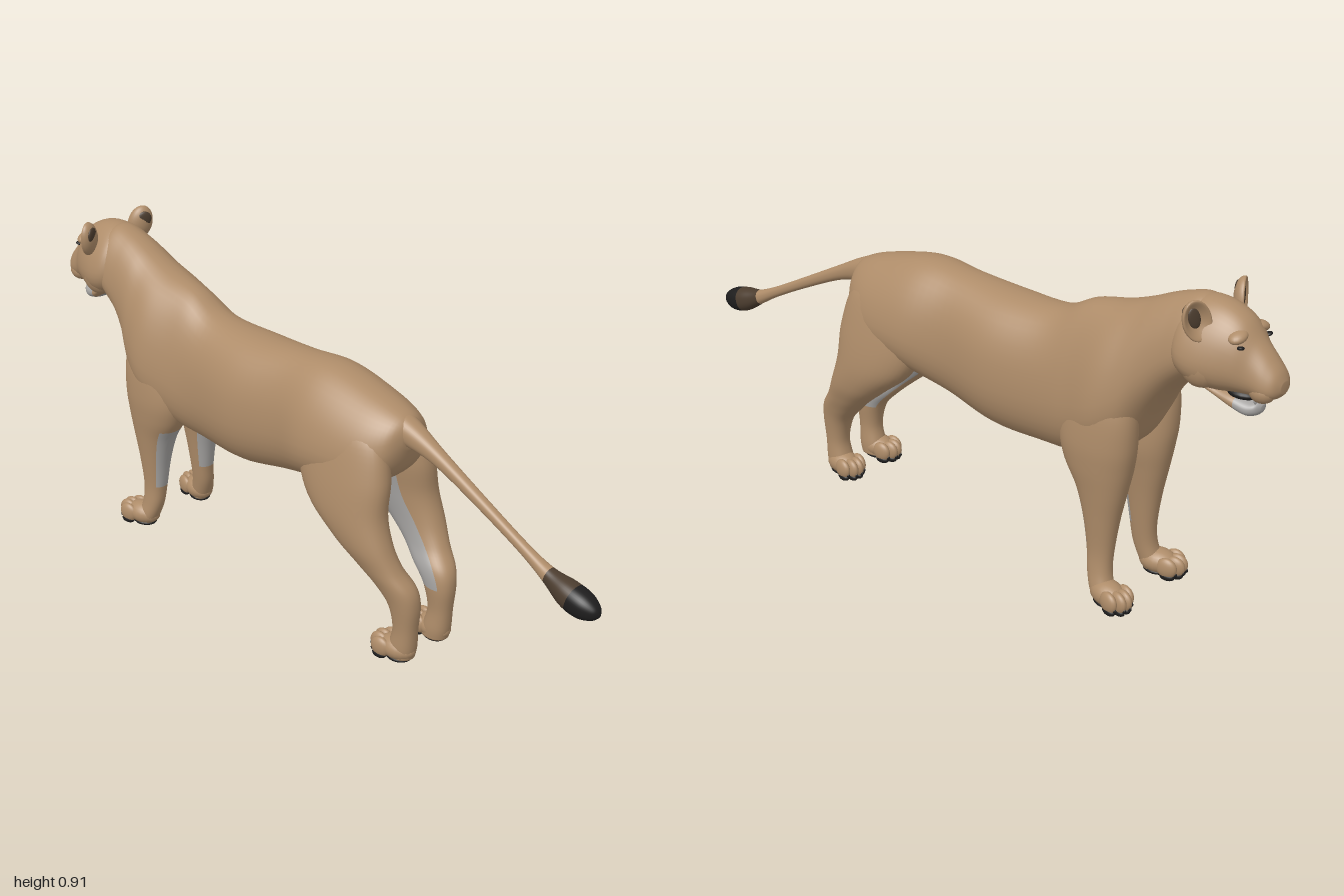
import * as THREE from 'three';

const paint = (name, color) => Object.assign(new THREE.MeshStandardMaterial({ color }), { name });

// Smooth skin through cross-sections; pick() chooses the material of each face
function loft(rows, place, pick = () => 0, steps = 6, n = 40) {
  const pos = [], buckets = [[], [], []], fine = [];
  const last = rows.length - 1;
  for (let i = 0; i <= last * steps; i++) {
    const k = Math.min(Math.floor(i / steps), last - 1), t = i / steps - k;
    const at = (j) => rows[Math.max(0, Math.min(last, j))];
    fine.push(rows[0].map((_, c) => {
      const [a, b, d, e] = [at(k - 1)[c], at(k)[c], at(k + 1)[c], at(k + 2)[c]];
      return b + 0.5 * t * (d - a + t * (2 * a - 5 * b + 4 * d - e + t * (3 * (b - d) + e - a)));
    }));
  }
  const angle = (j) => (j / n) * Math.PI * 2;
  const round = (v) => Math.sign(v) * Math.abs(v) ** 0.9;
  fine.forEach((r) => {
    for (let j = 0; j < n; j++) pos.push(...place(r, round(Math.cos(angle(j))), round(Math.sin(angle(j)))));
  });
  for (let i = 0; i < fine.length - 1; i++) {
    for (let j = 0; j < n; j++) {
      const a = i * n + j, b = i * n + (j + 1) % n;
      const m = pick(fine[i], Math.cos(angle(j + 0.5)), Math.sin(angle(j + 0.5)));
      buckets[m].push(a, b, a + n, b, b + n, a + n);
    }
  }
  // End caps
  [0, fine.length - 1].forEach((i) => {
    const centre = pos.length / 3, m = pick(fine[i], 0, 0);
    pos.push(...place(fine[i], 0, 0));
    for (let j = 0; j < n; j++) {
      const a = i * n + j, b = i * n + (j + 1) % n;
      buckets[m].push(...(i ? [a, b, centre] : [b, a, centre]));
    }
  });
  // Turn all faces outward
  let volume = 0;
  const p = (q) => new THREE.Vector3().fromArray(pos, q * 3);
  buckets.forEach((f) => {
    for (let q = 0; q < f.length; q += 3) volume += p(f[q]).dot(p(f[q + 1]).cross(p(f[q + 2])));
  });
  const geo = new THREE.BufferGeometry();
  geo.setAttribute('position', new THREE.Float32BufferAttribute(pos, 3));
  let start = 0;
  buckets.forEach((f, m) => {
    if (volume < 0) for (let q = 0; q < f.length; q += 3) [f[q], f[q + 1]] = [f[q + 1], f[q]];
    geo.addGroup(start, f.length, m);
    start += f.length;
  });
  geo.setIndex(buckets.flat());
  geo.computeVertexNormals();
  return geo;
}

export function createModel() {
  const model = new THREE.Group();
  const tan = paint('tan fur', 0xae8c69);
  const pale = paint('pale grey fur', 0xa5a3a1);
  const brown = paint('brown fur', 0x4c3d2f);
  const black = paint('black', 0x1e1d1d);

  const add = (name, geo, mat, parent = model) => {
    const mesh = new THREE.Mesh(geo, mat);
    mesh.name = name;
    parent.add(mesh);
    return mesh;
  };
  const blob = (name, mat, [x, y, z], [rx, ry, rz], parent = model) => {
    const mesh = add(name, new THREE.SphereGeometry(1, 20, 14), mat, parent);
    mesh.position.set(x, y, z);
    mesh.scale.set(rx, ry, rz);
    return mesh;
  };
  // Row: z, top, bottom, half width, narrowing towards the top
  const alongZ = ([z, top, bottom, w, taper], c, s) =>
    [w * c * (1 - taper * s), (top + bottom) / 2 + (top - bottom) / 2 * s, z];

  // Trunk and neck
  add('body', loft([
    [0.385, 0.665, 0.60, 0.03, 0.1], [0.355, 0.688, 0.52, 0.088, 0.2], [0.27, 0.716, 0.46, 0.13, 0.25],
    [0.12, 0.747, 0.425, 0.145, 0.22], [-0.02, 0.738, 0.385, 0.125, 0.1], [-0.18, 0.728, 0.352, 0.14, 0.06],
    [-0.34, 0.734, 0.352, 0.125, 0.1], [-0.44, 0.78, 0.365, 0.13, 0.25], [-0.54, 0.804, 0.4, 0.148, 0.24],
    [-0.61, 0.83, 0.45, 0.132, 0.22], [-0.66, 0.853, 0.545, 0.112, 0.18], [-0.71, 0.873, 0.62, 0.1, 0.2],
    [-0.77, 0.888, 0.68, 0.094, 0.25], [-0.81, 0.87, 0.72, 0.07, 0.2],
  ], alongZ, ([z], c, s) => (s < -0.93 && z > -0.42 && z < 0.24 ? 1 : 0)), [tan, pale]);

  // Tail with dark tuft; row: z, centre height, radius
  add('tail', loft([
    [0.25, 0.65, 0.045], [0.32, 0.648, 0.045], [0.39, 0.635, 0.033], [0.48, 0.602, 0.021], [0.62, 0.535, 0.016],
    [0.76, 0.465, 0.015], [0.84, 0.425, 0.021], [0.9, 0.402, 0.034], [0.95, 0.389, 0.034], [0.985, 0.382, 0.02],
    [0.998, 0.38, 0.004],
  ], ([z, y, r], c, s) => [r * c, y + r * s, z + r * s * 0.25],
  ([z]) => (z < 0.83 ? 0 : z < 0.91 ? 1 : 2)), [tan, brown, black]);

  // Head
  const head = new THREE.Group();
  head.name = 'head';
  model.add(head);
  add('skull', loft([
    [-0.72, 0.855, 0.72, 0.07, 0.25], [-0.755, 0.88, 0.69, 0.1, 0.28], [-0.8, 0.888, 0.672, 0.104, 0.3],
    [-0.85, 0.88, 0.67, 0.094, 0.26], [-0.895, 0.856, 0.675, 0.077, 0.2], [-0.93, 0.815, 0.676, 0.058, 0.2],
    [-0.965, 0.779, 0.676, 0.05, 0.25], [-0.988, 0.752, 0.684, 0.038, 0.2], [-1.0, 0.727, 0.698, 0.016, 0],
  ], alongZ), [tan], head);
  add('jaw', loft([
    [-0.79, 0.7, 0.675, 0.06, 0], [-0.84, 0.685, 0.652, 0.055, 0], [-0.88, 0.668, 0.628, 0.042, 0],
    [-0.915, 0.658, 0.618, 0.036, 0], [-0.937, 0.658, 0.624, 0.026, 0], [-0.946, 0.65, 0.635, 0.008, 0],
  ], alongZ, ([z], c, s) => (z < -0.885 || s < -0.8 ? 1 : 0)), [tan, pale], head);
  blob('mouth', black, [0, 0.671, -0.892], [0.039, 0.016, 0.045], head);
  for (const s of [-1, 1]) {
    blob('muzzlePad', tan, [s * 0.024, 0.698, -0.955], [0.03, 0.029, 0.034], head);
    blob('cheek', tan, [s * 0.07, 0.735, -0.81], [0.036, 0.055, 0.055], head);
    const brow = blob('brow', tan, [s * 0.045, 0.824, -0.892], [0.028, 0.014, 0.022], head);
    brow.rotation.z = s * -0.3;
    const eye = blob('eye', black, [s * 0.057, 0.803, -0.909], [0.011, 0.005, 0.009], head);
    eye.rotation.set(0, s * 0.6, s * 0.3);
    blob('nostril', black, [s * 0.012, 0.719, -0.994], [0.009, 0.007, 0.006], head);
    blob('fang', pale, [s * 0.022, 0.672, -0.937], [0.005, 0.015, 0.005], head);

    // Cupped ear, hollow towards the face
    const ear = new THREE.Group();
    ear.name = s > 0 ? 'leftEar' : 'rightEar';
    const cup = new THREE.SphereGeometry(1, 28, 20), p = cup.attributes.position;
    for (let i = 0; i < p.count; i++) {
      const x = p.getX(i), y = p.getY(i), z = p.getZ(i);
      const dent = z < 0 ? 1.5 * Math.max(0, 1 - x * x - y * y) : 0;
      p.setXYZ(i, x * 0.037, y * 0.053, (z + dent) * 0.026);
    }
    cup.computeVertexNormals();
    add('earShell', cup, tan, ear);
    blob('earBackPatch', brown, [s * 0.004, 0.018, 0.017], [0.022, 0.024, 0.0075], ear);
    blob('earInside', brown, [s * 0.004, 0.008, 0.003], [0.016, 0.026, 0.005], ear);
    ear.position.set(s * 0.096, 0.855, -0.812);
    ear.rotation.set(0.08, s * -0.45, s * -0.25);
    head.add(ear);
  }

  // Legs; row: height, back z, front z, inner x, outer x
  const hind = [
    [0.68, 0.27, 0.15, 0.04, 0.08], [0.62, 0.345, 0.08, 0.02, 0.122], [0.52, 0.376, 0.07, 0.016, 0.15],
    [0.42, 0.38, 0.12, 0.032, 0.163], [0.34, 0.405, 0.215, 0.045, 0.156], [0.28, 0.435, 0.29, 0.045, 0.137],
    [0.23, 0.472, 0.345, 0.032, 0.12], [0.18, 0.482, 0.39, 0.031, 0.108], [0.11, 0.477, 0.408, 0.037, 0.1],
    [0.05, 0.474, 0.395, 0.033, 0.102], [0.018, 0.468, 0.39, 0.035, 0.1],
  ];
  const fore = [
    [0.70, -0.52, -0.58, 0.05, 0.085], [0.64, -0.48, -0.62, 0.04, 0.118], [0.55, -0.445, -0.643, 0.03, 0.145],
    [0.46, -0.425, -0.645, 0.022, 0.154], [0.39, -0.44, -0.636, 0.022, 0.15], [0.32, -0.48, -0.622, 0.035, 0.14],
    [0.24, -0.505, -0.606, 0.048, 0.13], [0.15, -0.52, -0.595, 0.06, 0.122], [0.09, -0.528, -0.596, 0.068, 0.126],
    [0.04, -0.545, -0.61, 0.075, 0.135], [0.015, -0.56, -0.61, 0.08, 0.13],
  ];
  const leg = (side, rows, pick) => loft(rows, ([y, zb, zf, xi, xo], c, s) =>
    [side * ((xi + xo) / 2 + (xo - xi) / 2 * c), y, (zb + zf) / 2 + (zb - zf) / 2 * s], pick);

  // Paw with four toes, claws and dark pads, toes pointing to -z
  function paw(name, x, z, turn) {
    const g = new THREE.Group();
    g.name = name;
    blob('pawTop', tan, [0, 0.039, 0.008], [0.039, 0.034, 0.055], g);
    blob('heelPad', black, [0, 0.013, 0.012], [0.031, 0.012, 0.038], g);
    for (let i = 0; i < 4; i++) {
      const tx = (i - 1.5) * 0.019, tz = i === 0 || i === 3 ? -0.028 : -0.043;
      blob('toe', tan, [tx, 0.038, tz], [0.0145, 0.029, 0.03], g);
      blob('toePad', black, [tx, 0.014, tz - 0.003], [0.012, 0.012, 0.022], g);
      blob('claw', black, [tx, 0.024, tz - 0.025], [0.004, 0.007, 0.006], g);
    }
    g.position.set(x, 0, z);
    g.rotation.y = turn;
    model.add(g);
  }
  for (const s of [-1, 1]) {
    const side = s > 0 ? 'left' : 'right';
    add(side + 'HindLeg', leg(s, hind,
      ([y], c, t) => (c < -0.55 && t < 0.4 && y > 0.18 && y < 0.5 ? 1 : 0)), [tan, pale]);
    add(side + 'ForeLeg', leg(s, fore,
      ([y], c, t) => (y > 0.16 && y < 0.36 && t > 0.45 && c < 0.75 ? 1 : 0)), [tan, pale]);
    paw(side + 'HindPaw', s * 0.073, 0.412, s * -0.12);
    paw(side + 'ForePaw', s * 0.111, -0.607, s * -0.2);
  }
  return model;
}
